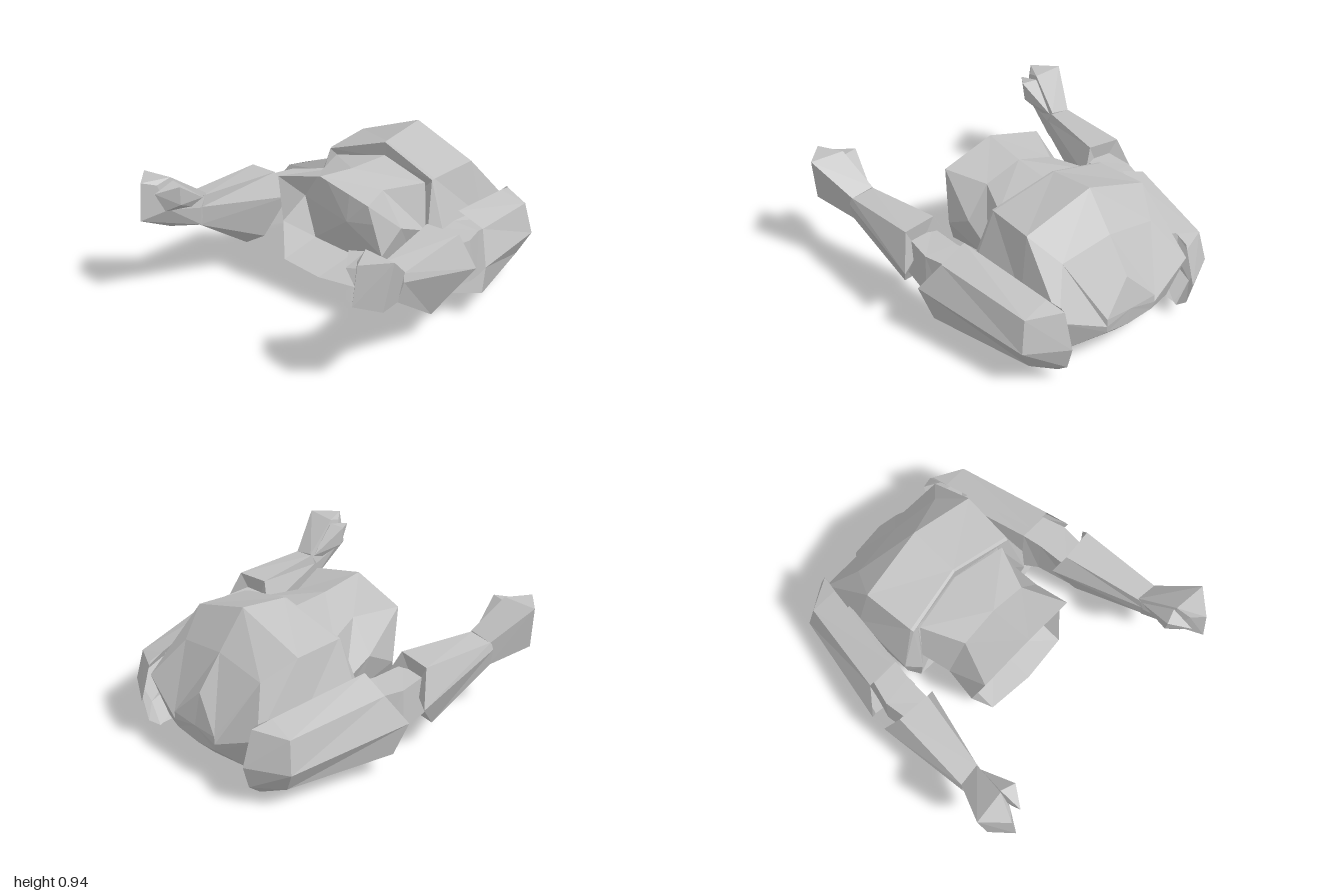
import * as THREE from 'three';
import { ConvexGeometry } from 'three/addons/geometries/ConvexGeometry.js';

const stone = new THREE.MeshStandardMaterial({ color: 0xc2c2c2, flatShading: true, side: THREE.DoubleSide });
stone.name = 'stoneGrey';

// Skin cross-sections of the left side, listed back to front and
// counter-clockwise seen from +z; side -1 mirrors them to the right
function loft(rings, side, { closed = true, capBack, capFront } = {}) {
  const out = [];
  const put = ([x, y, z]) => out.push(x * side, y, z);
  const tri = (a, b, c) => (side > 0 ? [a, b, c] : [a, c, b]).forEach(put);
  const n = rings[0].length;
  const last = rings[rings.length - 1];
  for (let i = 0; i < (closed ? n : n - 1); i++) {
    const j = (i + 1) % n;
    for (let r = 0; r + 1 < rings.length; r++) {
      tri(rings[r][i], rings[r][j], rings[r + 1][j]);
      tri(rings[r][i], rings[r + 1][j], rings[r + 1][i]);
    }
    if (capBack) tri(rings[0][j], rings[0][i], capBack);
    if (capFront) tri(last[i], last[j], capFront);
  }
  const g = new THREE.BufferGeometry();
  g.setAttribute('position', new THREE.Float32BufferAttribute(out, 3));
  g.computeVertexNormals();
  return g;
}

const hull = (pts, side) => new ConvexGeometry(pts.map(([x, y, z]) => new THREE.Vector3(x * side, y, z)));

function add(parent, name, geometry) {
  const mesh = new THREE.Mesh(geometry, stone);
  mesh.name = name;
  parent.add(mesh);
}

// Half sections of the big rounded back, ending in a bevelled front rim
const torso = [
  [[0, 0.2, -0.95], [0.17, 0.23, -0.96], [0.18, 0.28, -0.97], [0.18, 0.33, -0.97], [0, 0.52, -0.92]],
  [[0, 0.07, -0.83], [0.4, 0.15, -0.85], [0.48, 0.42, -0.91], [0.33, 0.66, -0.75], [0, 0.72, -0.765]],
  [[0, 0, -0.72], [0.46, 0.07, -0.6], [0.5, 0.42, -0.6], [0.43, 0.785, -0.56], [0, 0.94, -0.585]],
  [[0, 0.06, -0.3], [0.46, 0.085, -0.25], [0.52, 0.42, -0.19], [0.405, 0.765, -0.23], [0, 0.89, -0.275]],
  [[0, 0.085, -0.16], [0.43, 0.14, -0.16], [0.45, 0.42, -0.11], [0.4, 0.76, -0.21], [0, 0.885, -0.26]],
  [[0, 0.17, -0.2], [0.28, 0.22, -0.2], [0.38, 0.42, -0.18], [0.34, 0.7, -0.24], [0, 0.78, -0.27]],
];

// Half sections of the collar, pinched in the middle and flaring to an open mouth
const waist = [[0, 0.245, 0.05], [0.3, 0.27, 0.05], [0.38, 0.53, 0.05], [0.24, 0.735, 0.05], [0, 0.81, 0.05]];
const collar = [
  [[0, 0.15, -0.18], [0.31, 0.2, -0.18], [0.4, 0.45, -0.16], [0.35, 0.73, -0.21], [0, 0.8, -0.26]],
  waist,
  [[0, 0.205, 0.355], [0.3, 0.22, 0.33], [0.39, 0.42, 0.24], [0.35, 0.75, 0.315], [0, 0.845, 0.33]],
];

// Curved plate that wraps the outside of the upper arm
const shoulderPlate = [
  [[0.46, 0.06, -0.88], [0.46, 0.13, -0.96], [0.46, 0.28, -1], [0.46, 0.5, -0.93], [0.47, 0.52, -0.91]],
  [[0.47, 0.06, -0.85], [0.62, 0.13, -0.82], [0.7, 0.28, -0.86], [0.66, 0.48, -0.83], [0.49, 0.53, -0.81]],
  [[0.49, 0.06, -0.16], [0.81, 0.16, -0.18], [0.87, 0.37, -0.12], [0.77, 0.55, -0.22], [0.6, 0.62, -0.21]],
];

const upperArm = [
  [[0.48, 0.14, -0.7], [0.62, 0.2, -0.7], [0.62, 0.42, -0.7], [0.48, 0.46, -0.7]],
  [[0.53, 0.17, -0.2], [0.75, 0.24, -0.2], [0.74, 0.53, -0.22], [0.56, 0.54, -0.22]],
  [[0.57, 0.24, -0.09], [0.79, 0.27, -0.08], [0.78, 0.53, -0.08], [0.58, 0.54, -0.1]],
  [[0.6, 0.3, 0.14], [0.77, 0.3, 0.14], [0.76, 0.54, 0.12], [0.59, 0.54, 0.12]],
];

// Gauntlet tapering from a pointed elbow to the wrist
const forearm = [
  [[0.63, 0.22, 0.17], [0.74, 0.16, 0.22], [0.88, 0.41, -0.01], [0.81, 0.63, 0.07], [0.6, 0.64, 0.09], [0.53, 0.48, 0.05]],
  [[0.72, 0.43, 0.63], [0.82, 0.43, 0.63], [0.85, 0.55, 0.61], [0.84, 0.6, 0.6], [0.7, 0.62, 0.6], [0.7, 0.55, 0.62]],
];

const fist = [
  [0.71, 0.43, 0.62], [0.82, 0.43, 0.62], [0.84, 0.6, 0.59], [0.7, 0.63, 0.58], [0.695, 0.55, 0.63],
  [0.96, 0.785, 0.83], [0.75, 0.79, 0.81], [0.73, 0.6, 0.85], [0.79, 0.46, 0.8], [0.92, 0.5, 0.87],
  [0.83, 0.78, 0.97], [0.77, 0.76, 0.9], [0.82, 0.55, 1],
];
const thumb = [
  [0.7, 0.61, 0.61], [0.72, 0.56, 0.66], [0.77, 0.62, 0.68], [0.74, 0.77, 0.8],
  [0.65, 0.76, 0.83], [0.66, 0.64, 0.82], [0.735, 0.73, 0.95], [0.73, 0.6, 0.88],
];

export function createModel() {
  const model = new THREE.Group();
  model.name = 'hunchedTorso';

  for (const s of [1, -1]) {
    const prefix = s > 0 ? 'left' : 'right';

    const body = new THREE.Group();
    body.name = `${prefix}BodyHalf`;
    add(body, 'torso', loft(torso, s, { closed: false, capBack: [0, 0.32, -0.965], capFront: [0, 0.48, -0.25] }));
    add(body, 'collar', loft(collar, s, { closed: false }));
    // Shallow faceted dome that fills the collar
    add(body, 'collarCore', loft([waist], s, { closed: false, capFront: [0, 0.48, 0.1] }));
    model.add(body);

    const arm = new THREE.Group();
    arm.name = `${prefix}Arm`;
    add(arm, 'shoulderPlate', loft(shoulderPlate, s, { closed: false }));
    add(arm, 'upperArm', loft(upperArm, s, { capBack: [0.55, 0.31, -0.7], capFront: [0.69, 0.41, 0.14] }));
    add(arm, 'forearm', loft(forearm, s, { capBack: [0.7, 0.42, 0.11], capFront: [0.77, 0.53, 0.62] }));
    add(arm, 'fist', hull(fist, s));
    add(arm, 'thumb', hull(thumb, s));
    model.add(arm);
  }
  return model;
}
